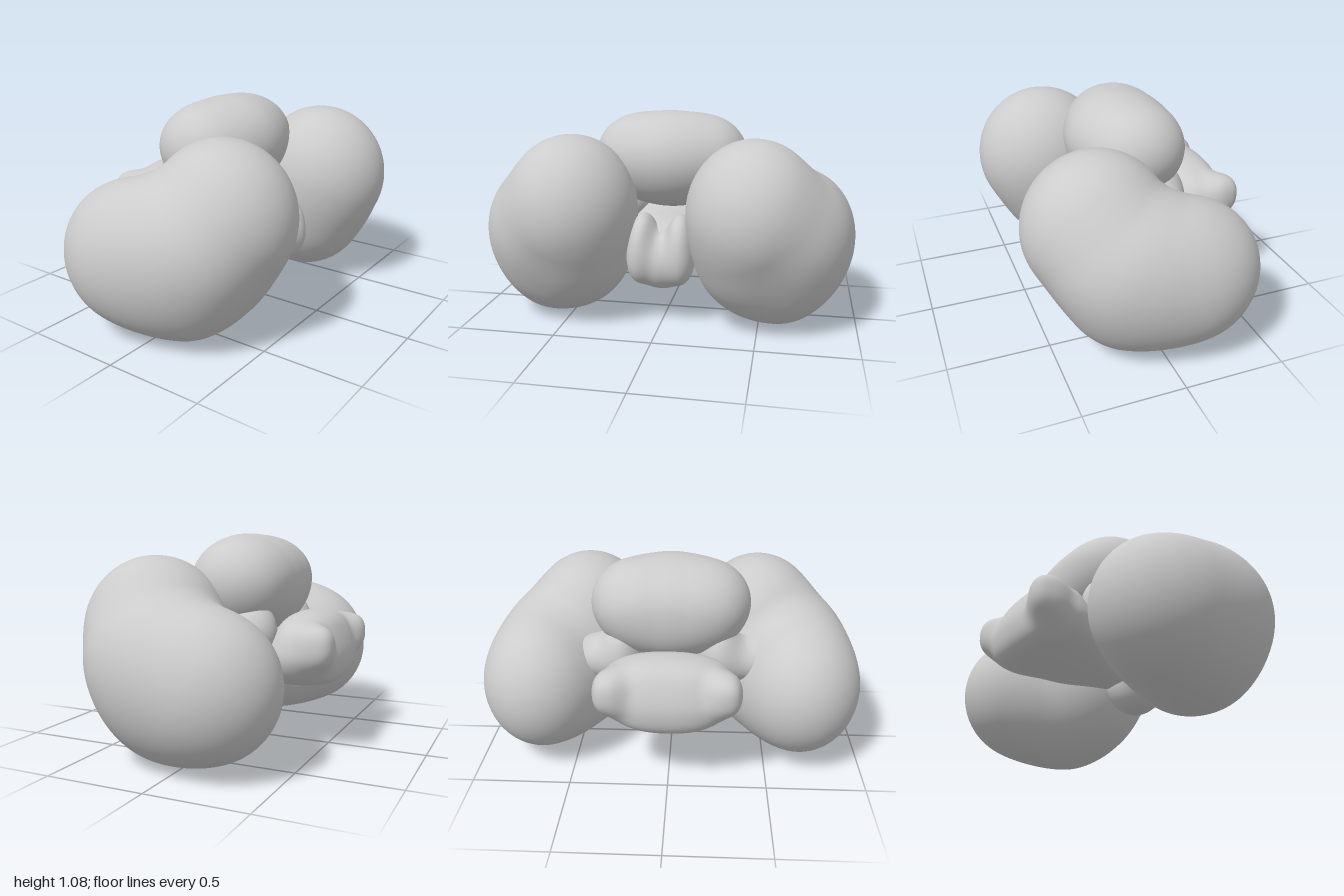
import * as THREE from 'three';
import { mergeVertices } from 'three/addons/utils/BufferGeometryUtils.js';

const material = new THREE.MeshStandardMaterial({ color: 0xcccccc });

// Soft-blended field of ellipsoids, each [x, y, z, rx, ry, rz]; power above 2 squares them off.
function field(p, parts, blend, power) {
  let d = Infinity;
  for (const [x, y, z, rx, ry, rz] of parts) {
    const k = Math.pow(
      Math.pow(Math.abs((p.x - x) / rx), power) +
      Math.pow(Math.abs((p.y - y) / ry), power) +
      Math.pow(Math.abs((p.z - z) / rz), power), 1 / power);
    const e = (k - 1) * Math.min(rx, ry, rz);
    if (d === Infinity) { d = e; continue; }
    const h = Math.max(blend - Math.abs(d - e), 0) / blend;
    d = Math.min(d, e) - h * h * blend / 4;
  }
  return d;
}

// Push the vertices of a sphere from the centre onto the surface of the field.
function blob(name, centre, parts, { blend = 0.08, power = 2, detail = 26 } = {}) {
  let geo = new THREE.IcosahedronGeometry(1, detail);
  geo.deleteAttribute('normal');
  geo.deleteAttribute('uv');
  geo = mergeVertices(geo, 1e-5);
  const pos = geo.attributes.position;
  const c = new THREE.Vector3(...centre);
  const dir = new THREE.Vector3();
  const p = new THREE.Vector3();
  const at = (t) => field(p.copy(c).addScaledVector(dir, t), parts, blend, power);
  for (let i = 0; i < pos.count; i++) {
    dir.fromBufferAttribute(pos, i).normalize();
    let t = 1;
    while (t > 0.02 && at(t) > 0) t -= 0.02;
    let lo = t, hi = t + 0.02;
    for (let n = 0; n < 12; n++) {
      const mid = (lo + hi) / 2;
      if (at(mid) > 0) hi = mid; else lo = mid;
    }
    p.copy(c).addScaledVector(dir, lo);
    pos.setXYZ(i, p.x, p.y, p.z);
  }
  geo.computeVertexNormals();
  const mesh = new THREE.Mesh(geo, material);
  mesh.name = name;
  return mesh;
}

export function createModel() {
  const group = new THREE.Group();
  group.name = 'lobedBody';

  for (const [side, s] of [['left', 1], ['right', -1]]) {
    const flip = (parts) => parts.map(([x, ...rest]) => [x * s, ...rest]);

    // Large bean: high front end, low back end, dented above the middle
    group.add(blob(side + 'Lobe', [0.57 * s, 0.47, 0.05], flip([
      [0.465, 0.64, 0.24, 0.335, 0.37, 0.36],
      [0.67, 0.44, -0.125, 0.315, 0.36, 0.365],
      [0.58, 0.40, 0.08, 0.33, 0.365, 0.37],
      [0.42, 0.44, 0.17, 0.25, 0.31, 0.29],
      [0.67, 0.52, 0.10, 0.27, 0.31, 0.36],
    ]), { blend: 0.1, detail: 34 }));

    // Stalk joining the lobe to the core
    group.add(blob(side + 'Stalk', [0.38 * s, 0.59, -0.14], flip([
      [0.38, 0.59, -0.14, 0.21, 0.11, 0.13],
      [0.25, 0.64, -0.17, 0.10, 0.15, 0.13],
      [0.50, 0.62, -0.10, 0.10, 0.10, 0.10],
    ])));
  }

  // Rounded cushion on top, with a flat crown, pointed front and narrow underside
  group.add(blob('upperBody', [0, 0.86, -0.06], [
    [0.17, 0.87, -0.075, 0.235, 0.22, 0.25],
    [-0.17, 0.87, -0.075, 0.235, 0.22, 0.25],
    [0, 0.885, -0.07, 0.22, 0.205, 0.25],
    [0, 0.86, 0.01, 0.22, 0.20, 0.20],
    [0, 0.75, -0.10, 0.24, 0.14, 0.19],
  ], { blend: 0.1 }));

  // Back plate with two soft corner knobs, tapering forward into the core
  group.add(blob('backPlateAndCore', [0, 0.52, -0.33], [
    [0, 0.565, -0.41, 0.33, 0.16, 0.16],
    [0, 0.48, -0.46, 0.25, 0.12, 0.13],
    [0.28, 0.59, -0.53, 0.065, 0.085, 0.07],
    [-0.28, 0.59, -0.53, 0.065, 0.085, 0.07],
    [0, 0.48, -0.24, 0.29, 0.12, 0.19],
    [0, 0.46, -0.05, 0.17, 0.12, 0.32],
  ], { blend: 0.08, power: 2.4, detail: 32 }));

  // Forked tongue at the front
  group.add(blob('frontTongue', [0, 0.39, 0.19], [
    [0, 0.365, 0.19, 0.155, 0.15, 0.145],
    [0.095, 0.48, 0.20, 0.07, 0.13, 0.13],
    [-0.095, 0.48, 0.20, 0.07, 0.13, 0.13],
    [0.11, 0.38, 0.27, 0.05, 0.10, 0.07],
    [-0.11, 0.38, 0.27, 0.05, 0.10, 0.07],
  ], { blend: 0.06 }));

  return group;
}
